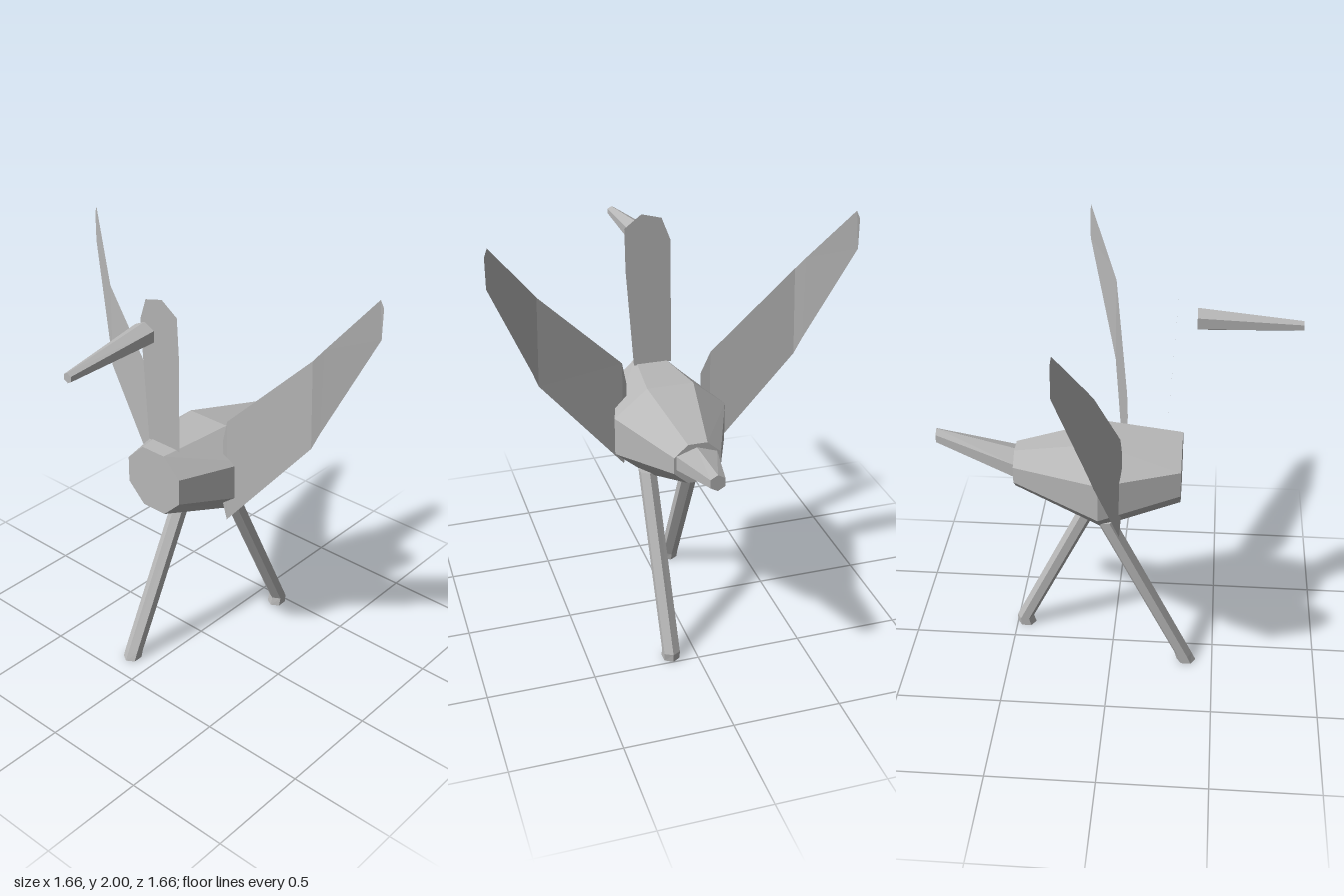
import * as THREE from 'three';

const grey = new THREE.MeshStandardMaterial({ color: 0xb8b8b8, flatShading: true });
grey.name = 'grey';
const greySheet = new THREE.MeshStandardMaterial({ color: 0xb8b8b8, flatShading: true, side: THREE.DoubleSide });
greySheet.name = 'greySheet';

// Non-indexed geometry from triangles of [x, y, z] corners
function facets(tris) {
  const geo = new THREE.BufferGeometry();
  geo.setAttribute('position', new THREE.Float32BufferAttribute(tris.flat(2), 3));
  geo.computeVertexNormals();
  return geo;
}

// Closed skin over rings of equal size, with end caps
function loft(rings) {
  const tris = [];
  const n = rings[0].length;
  for (let r = 0; r < rings.length - 1; r++) {
    const a = rings[r], b = rings[r + 1];
    for (let i = 0; i < n; i++) {
      const j = (i + 1) % n;
      tris.push([a[i], a[j], b[j]], [a[i], b[j], b[i]]);
    }
  }
  const first = rings[0], last = rings[rings.length - 1];
  for (let i = 1; i < n - 1; i++) {
    tris.push([first[0], first[i + 1], first[i]], [last[0], last[i], last[i + 1]]);
  }
  return facets(tris);
}

// Upright ring facing along z
function ringZ(n, phase, x, y, z, rx, ry) {
  return Array.from({ length: n }, (_, i) => {
    const a = phase + (i / n) * Math.PI * 2;
    return [x + rx * Math.cos(a), y + ry * Math.sin(a), z];
  });
}

// Level ring facing along y
function ringY(n, x, y, z, rx, rz) {
  return Array.from({ length: n }, (_, i) => {
    const a = (i / n) * Math.PI * 2;
    return [x + rx * Math.sin(a), y, z + rz * Math.cos(a)];
  });
}

function add(group, name, geometry, material = grey) {
  const mesh = new THREE.Mesh(geometry, material);
  mesh.name = name;
  group.add(mesh);
}

// Folded sheet wing: columns of upper and lower edge points
function wing(side, rootX) {
  const columns = [
    [[0.18, 1.2, 0.055], [0.18, 0.87, 0.05]],
    [[rootX, 1.305, 0.05], [rootX, 0.785, 0.045]],
    [[0.595, 1.705, -0.03], [0.605, 1.285, -0.035]],
    [[0.635, 1.76, -0.055], [0.635, 1.365, -0.055]],
    [[0.815, 2.0, -0.17], [0.83, 1.825, -0.175]],
  ];
  const tris = [];
  for (let i = 0; i < columns.length - 1; i++) {
    const [a, b] = columns[i], [c, d] = columns[i + 1];
    tris.push([a, b, d], [a, d, c]);
  }
  tris.push([columns[4][0], columns[4][1], [0.83, 1.965, -0.175]]);
  const mirrored = tris.map(([p, q, r]) => {
    const t = [p, q, r].map(([x, y, z]) => [x * side, y, z]);
    return side > 0 ? t : [t[0], t[2], t[1]];
  });
  return facets(mirrored);
}

export function createModel() {
  const group = new THREE.Group();
  group.name = 'bird';

  // Eight-sided body, flat sides up, down, left and right
  const k = 1 / Math.cos(Math.PI / 8);
  const bodyRing = (y, z, rx, ry) => ringZ(8, Math.PI / 8, 0, y, z, rx * k, ry * k);
  add(group, 'body', loft([
    bodyRing(1.025, -0.455, 0.107, 0.095),
    bodyRing(0.988, -0.05, 0.266, 0.222),
    bodyRing(1.04, 0.32, 0.155, 0.151),
  ]));

  // Six-sided tail and beak
  const hex = Math.PI / 6;
  add(group, 'tail', loft([
    ringZ(6, hex, 0.037, 1.138, -0.83, 0.0375, 0.0375),
    ringZ(6, hex, 0.003, 1.035, -0.445, 0.11, 0.066),
  ]));
  add(group, 'beak', loft([
    ringZ(6, hex, 0.013, 1.79, 0.368, 0.062, 0.052),
    ringZ(6, hex, 0.034, 1.763, 0.83, 0.023, 0.023),
  ]));

  // Neck and head, one leaning sheet
  const outline = [
    [-0.095, 1.19], [0.09, 1.19], [0.117, 1.66], [0.117, 1.86],
    [0.035, 1.92], [-0.06, 1.895], [-0.1, 1.79],
  ].map(([x, y]) => [x, y, 0.245 + (y - 1.19) * 0.055]);
  const fan = [];
  for (let i = 1; i < outline.length - 1; i++) fan.push([outline[0], outline[i], outline[i + 1]]);
  add(group, 'neckAndHead', facets(fan), greySheet);

  // Striding legs with short upright feet: [height, z, depth]
  const leg = (x, path) => loft(path.map(([y, z, rz]) => ringY(6, x, y, z, 0.043, rz)));
  add(group, 'rightLeg', leg(-0.12, [[0, 0.372, 0.047], [0.04, 0.357, 0.043], [0.81, -0.027, 0.045]]));
  add(group, 'leftLeg', leg(0.122, [[0, -0.453, 0.047], [0.04, -0.46, 0.042], [0.81, -0.083, 0.045]]));

  add(group, 'leftWing', wing(1, 0.2), greySheet);
  add(group, 'rightWing', wing(-1, 0.225), greySheet);
  return group;
}
